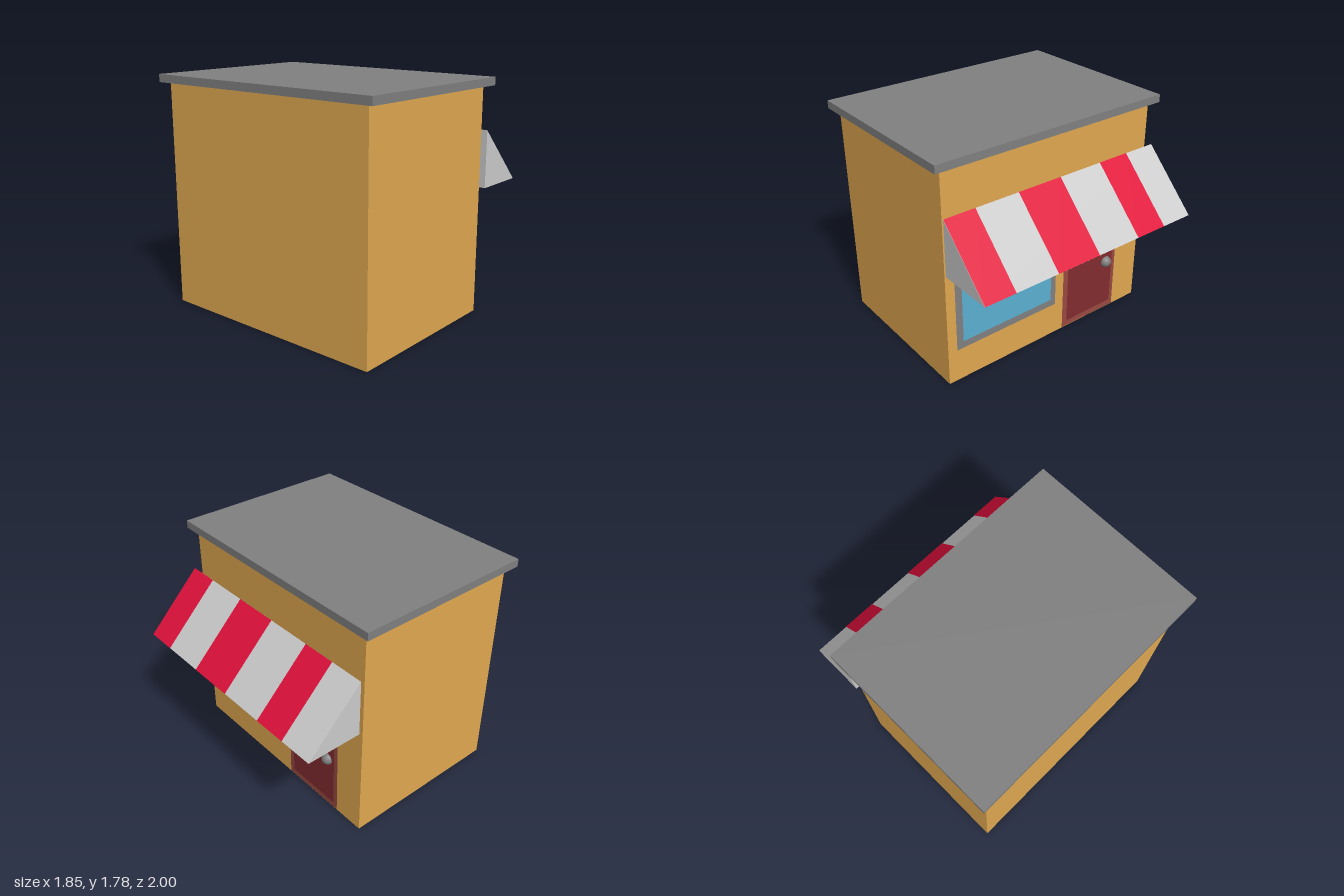
import * as THREE from 'three';

const paint = (color) => new THREE.MeshStandardMaterial({ color });

export function createModel() {
  const shop = new THREE.Group();
  shop.name = 'shop';
  const ochre = paint(0xe0a850);
  const slate = paint(0x808080);
  const white = paint(0xcccccc);
  const red = paint(0xe0103a);

  function add(name, geometry, material, x, y, z) {
    const mesh = new THREE.Mesh(geometry, material);
    mesh.name = name;
    mesh.position.set(x, y, z);
    shop.add(mesh);
    return mesh;
  }

  // Flat panel on the shop side (facing +x), given by its z and y extents
  function panel(name, material, x, z0, z1, y0, y1) {
    const mesh = add(name, new THREE.PlaneGeometry(z1 - z0, y1 - y0), material,
      x, (y0 + y1) / 2, (z0 + z1) / 2);
    mesh.rotation.y = Math.PI / 2;
  }

  // Building
  add('walls', new THREE.BoxGeometry(1.315, 1.725, 1.87), ochre, -0.215, 0.8625, 0);
  add('roof', new THREE.BoxGeometry(1.42, 0.06, 2), slate, -0.215, 1.755, 0);

  // Window and door
  panel('windowFrame', slate, 0.445, -0.06, 0.86, 0.27, 0.89);
  panel('windowGlass', paint(0x5ab0d0), 0.448, -0.01, 0.805, 0.33, 0.845);
  panel('doorFrame', paint(0x9a4a40), 0.445, -0.69, -0.14, 0.005, 0.89);
  panel('door', paint(0x822c30), 0.448, -0.655, -0.185, 0.055, 0.86);
  add('doorKnob', new THREE.SphereGeometry(0.047, 32, 20), slate, 0.447, 0.455, -0.585);

  // Awning: solid wedge with red stripes on its slope
  const [inner, outer, low, high, half] = [0.493, 0.925, 0.96, 1.395, 0.955];
  const wedge = new THREE.Shape([
    new THREE.Vector2(inner, low),
    new THREE.Vector2(outer, low),
    new THREE.Vector2(inner, high),
  ]);
  add('awning', new THREE.ExtrudeGeometry(wedge, { depth: 2 * half, bevelEnabled: false }),
    white, 0, 0, -half);

  const slope = Math.hypot(outer - inner, high - low);
  const lift = 0.002;
  for (const [z0, z1] of [[0.705, half], [-0.03, 0.345], [-0.68, -0.41]]) {
    const stripe = new THREE.PlaneGeometry(z1 - z0, slope);
    stripe.rotateY(Math.PI / 2);
    stripe.rotateZ(Math.atan2(outer - inner, high - low));
    add('awningStripe', stripe, red,
      (inner + outer) / 2 + lift, (low + high) / 2 + lift, (z0 + z1) / 2);
  }

  return shop;
}
